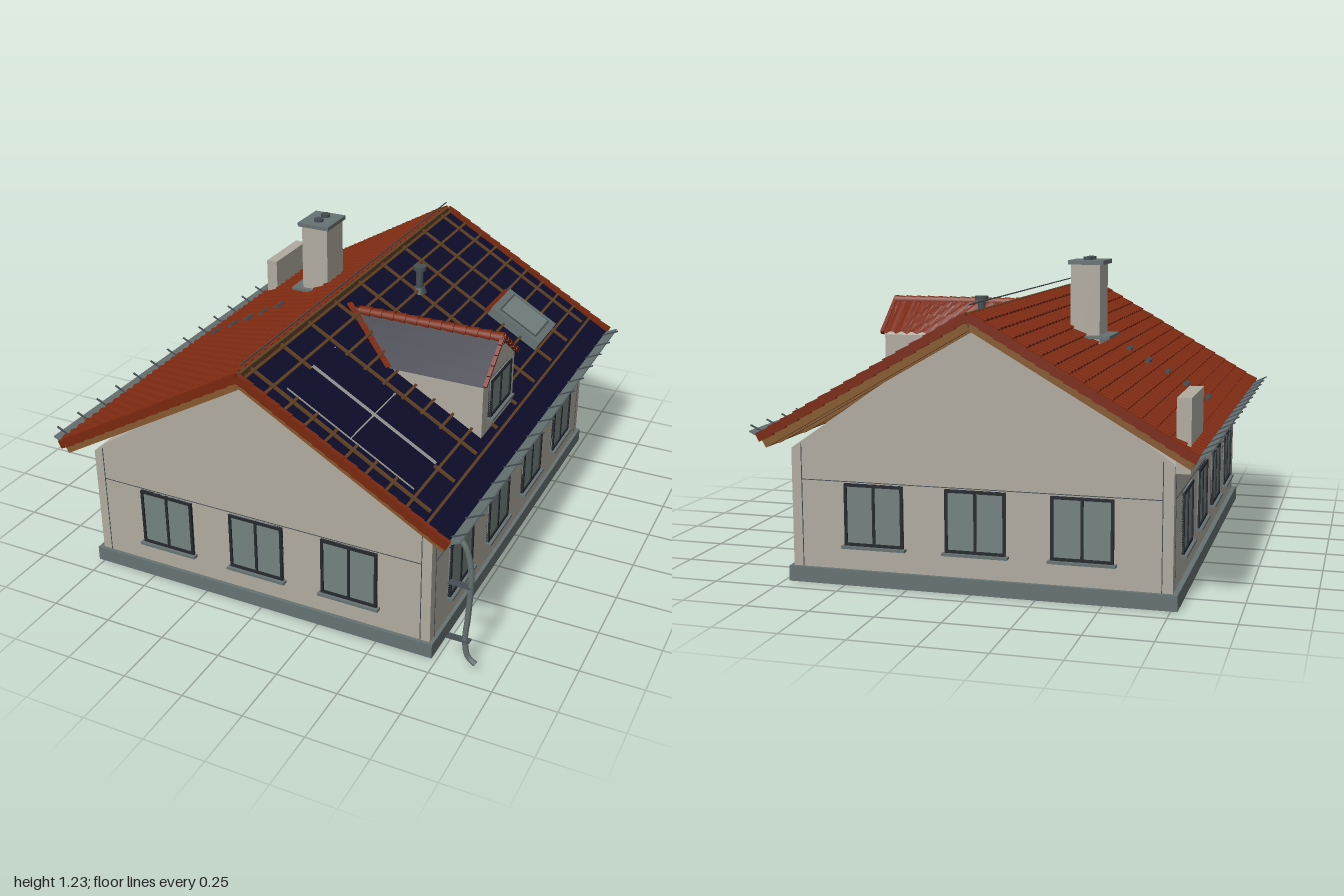
import * as THREE from 'three';

const mat = (name, color, extra = {}) => new THREE.MeshStandardMaterial({ name, color, ...extra });
const M = {
  wall: mat('plaster', 0xb0aba0),
  plinth: mat('plinth grey', 0x667272),
  tile: mat('clay tile', 0x7a280f, { side: THREE.DoubleSide }),
  membrane: mat('navy membrane', 0x0e0d2a, { side: THREE.DoubleSide }),
  batten: mat('batten brown', 0x5f4023),
  timber: mat('rafter timber', 0x85592f),
  frame: mat('window frame', 0x24282e),
  glass: mat('glass', 0x74827f),
  metal: mat('dark metal', 0x464f54),
  rail: mat('light rail', 0x9a9a98),
};
const CX = -0.02, PITCH = Math.PI / 6, LEN = 0.95, RIDGE = 1.04;

function add(parent, name, geo, material, x = 0, y = 0, z = 0) {
  const m = new THREE.Mesh(geo, material);
  m.name = name;
  m.position.set(x, y, z);
  parent.add(m);
  return m;
}
// box given by its minimum and maximum corners
function box(parent, name, material, x0, x1, y0, y1, z0, z1) {
  return add(parent, name, new THREE.BoxGeometry(x1 - x0, y1 - y0, z1 - z0), material,
    (x0 + x1) / 2, (y0 + y1) / 2, (z0 + z1) / 2);
}
function group(parent, name) {
  const g = new THREE.Group();
  g.name = name;
  parent.add(g);
  return g;
}
function polygon(points) {
  return new THREE.Shape(points.map(p => new THREE.Vector2(...p)));
}
// flat grid with its vertices moved by rule(s, t) -> [x, y, z]
function sheet(nx, nz, rule) {
  const g = new THREE.PlaneGeometry(1, 1, nx, nz), p = g.attributes.position;
  for (let i = 0; i < p.count; i++) p.setXYZ(i, ...rule(p.getX(i) + 0.5, 0.5 - p.getY(i)));
  const flat = g.toNonIndexed();
  flat.computeVertexNormals();
  return flat;
}

// two-sash window facing +z, origin at its centre on the wall
function makeWindow(parent, x, y, z, turn, w, h) {
  const g = group(parent, 'window');
  g.position.set(x, y, z);
  g.rotation.y = turn;
  const a = w / 2, b = h / 2, t = 0.011;
  box(g, 'glass', M.glass, -a, a, -b, b, 0, 0.006);
  for (const s of [-1, 1]) {
    add(g, 'frameSide', new THREE.BoxGeometry(t, h, 0.024), M.frame, s * (a - t / 2), 0, 0);
    add(g, 'frameRail', new THREE.BoxGeometry(w, t, 0.024), M.frame, 0, s * (b - t / 2), 0);
  }
  add(g, 'mullion', new THREE.BoxGeometry(t, h, 0.02), M.frame, 0, 0, 0);
  box(g, 'sill', M.plinth, -a - 0.01, a + 0.01, -b - 0.01, -b, 0, 0.025);
}

function buildBody(root) {
  const g = group(root, 'body');
  box(g, 'plinth', M.plinth, -0.775, 0.73, 0, 0.06, -0.92, 0.92);
  box(g, 'walls', M.wall, -0.755, 0.715, 0.06, 0.52, -0.905, 0.905);
  const gable = new THREE.ExtrudeGeometry(
    polygon([[-0.755, 0.52], [0.715, 0.52], [CX, 1.03]]), { depth: 0.04, bevelEnabled: false });
  add(g, 'frontGable', gable, M.wall, 0, 0, 0.865);
  add(g, 'backGable', gable, M.wall, 0, 0, -0.905);
  for (const s of [-1, 1]) {
    // thin joint lines on the gable walls and the long walls
    const z = s * 0.905, x = CX + s * 0.735, t = 0.0015;
    box(g, 'jointLine', M.metal, -0.715, 0.675, 0.399, 0.402, z - t, z + t);
    box(g, 'jointLine', M.metal, x - t, x + t, 0.399, 0.402, -0.865, 0.865);
    for (const e of [-1, 1]) {
      const ex = CX + e * 0.695, ez = e * 0.865;
      box(g, 'cornerLine', M.metal, ex - t, ex + t, 0.06, 0.54, z - t, z + t);
      box(g, 'cornerLine', M.metal, x - t, x + t, 0.06, 0.52, ez - t, ez + t);
    }
    for (const wx of [-0.423, -0.018, 0.382])
      makeWindow(g, wx, 0.275, z, s > 0 ? 0 : Math.PI, 0.235, 0.24);
    for (const wz of [0.62, 0.21, -0.205, -0.612])
      makeWindow(g, x, 0.275, wz, s * Math.PI / 2, 0.235, 0.235);
  }
}

// roof half: local x runs down the slope, local y is the roof normal
function buildSlope(root, side) {
  const half = group(root, side > 0 ? 'leftRoof' : 'rightRoof');
  half.position.set(CX, RIDGE, 0);
  half.rotation.y = side > 0 ? 0 : Math.PI;
  const g = group(half, 'slope');
  g.rotation.z = -PITCH;
  box(g, 'membrane', M.membrane, 0, LEN, -0.004, 0.003, -0.98, 0.98);
  for (let i = 0; i < 9; i++) {
    const z = -0.9 + i * 0.225;
    box(g, 'rafter', M.timber, 0.02, 0.93, -0.045, -0.004, z - 0.016, z + 0.016);
    if (side > 0) box(g, 'counterBatten', M.batten, 0, 0.83, 0.003, 0.012, z - 0.006, z + 0.006);
  }
  for (const z of [-0.965, 0.965])
    box(g, 'vergeRafter', M.timber, 0.02, 0.94, -0.04, -0.004, z - 0.015, z + 0.015);
  box(g, 'fascia', M.timber, 0.93, LEN, -0.04, 0, -0.98, 0.98);
  // overlapping verge tiles
  for (const z of [-0.99, 0.99]) for (let i = 0; i < 16; i++) {
    const v = add(g, 'vergeTile', new THREE.BoxGeometry(0.064, 0.034, 0.02), M.tile,
      (i + 0.5) * LEN / 16, 0.006, z);
    v.rotation.z = 0.08;
  }
  // flat eaves gutter with brackets
  const tray = add(half, 'gutter', new THREE.BoxGeometry(0.055, 0.006, 1.96), M.plinth, 0.845, -0.462, 0);
  tray.rotation.z = 0.45;
  for (let i = 0; i < 15; i++) {
    const b = add(half, 'gutterBracket', new THREE.BoxGeometry(0.085, 0.005, 0.007), M.metal, 0.85, -0.454, -0.93 + i * 0.133);
    b.rotation.z = 0.45;
  }
  if (side > 0) {
    for (let i = 0; i < 10; i++) {
      const u = 0.012 + i * 0.092;
      box(g, 'batten', M.batten, u, u + 0.011, 0.01, 0.018, -0.97, 0.97);
    }
    buildSolar(g);
    buildSkylight(g);
  } else {
    // stepped courses of corrugated tiles
    const courses = 16, waves = 40, bump = [0, 0.007, 0.01, 0.007];
    add(g, 'tiles', sheet(courses * 2 - 1, waves * 4, (s, t) => {
      const row = Math.round(s * (courses * 2 - 1)), col = Math.round(t * waves * 4);
      const u = Math.ceil(row / 2) * LEN / courses;
      return [u, (row % 2 ? 0.022 : 0.012) + bump[col % 4], (t - 0.5) * 1.96];
    }), M.tile);
    // step hooks below the chimney
    for (const x of [0.39, 0.47, 0.55, 0.63, 0.72]) {
      const u = x / Math.cos(PITCH);
      box(g, 'stepHook', M.metal, u - 0.006, u + 0.012, 0.02, 0.036, 0.02, 0.085);
    }
  }
}

function buildSolar(slope) {
  const g = group(slope, 'solarPanels');
  for (const u of [0.155, 0.45]) for (const z of [0.495, 0.69])
    box(g, 'panel', M.membrane, u, u + 0.285, 0.012, 0.025, z, z + 0.18);
  for (const z of [0.672, 0.684]) box(g, 'rail', M.rail, 0.15, 0.735, 0.02, 0.026, z, z + 0.005);
  box(g, 'rail', M.rail, 0.442, 0.447, 0.02, 0.026, 0.49, 0.875);
  for (const z of [0.49, 0.872]) box(g, 'edgeRail', M.rail, 0.15, 0.735, 0.016, 0.021, z, z + 0.003);
}

function buildSkylight(slope) {
  const g = group(slope, 'skylight');
  box(g, 'flashing', M.tile, 0.465, 0.5, 0.01, 0.024, -0.68, -0.44);
  box(g, 'skylightFrame', M.plinth, 0.485, 0.745, 0.003, 0.045, -0.67, -0.44);
  box(g, 'skylightRim', M.metal, 0.515, 0.715, 0.04, 0.047, -0.645, -0.465);
  box(g, 'skylightGlass', M.glass, 0.523, 0.707, 0.042, 0.05, -0.637, -0.473);
}

function buildDormer(root) {
  const g = group(root, 'dormer'), zc = 0.17, top = 1.008, eave = 0.865, half = 0.185;
  const shape = polygon([[-0.175, 0.64], [0.175, 0.64], [0.175, 0.862], [0, 0.998], [-0.175, 0.862]]);
  const walls = add(g, 'dormerWalls',
    new THREE.ExtrudeGeometry(shape, { depth: 0.38, bevelEnabled: false }), M.wall, 0.3, 0, zc);
  walls.rotation.y = Math.PI / 2;
  makeWindow(g, 0.682, 0.785, zc, Math.PI / 2, 0.225, 0.16);
  // roof sheets cut diagonally along the valleys
  const roof = (dir, amp) => sheet(56, 4, (s, t) => {
    const x0 = 0.03 + 0.26 * t, x = x0 + (0.7 - x0) * s;
    const wave = amp * Math.abs(Math.sin(x * Math.PI / 0.048));
    return [x, top + (eave - top) * t + wave, zc + dir * half * t];
  });
  add(g, 'dormerTiles', roof(-1, 0.012), M.tile);
  add(g, 'dormerMembrane', roof(1, 0), M.membrane);
  for (let i = 0; i < 12; i++) {
    const cap = add(g, 'ridgeTile', new THREE.CylinderGeometry(0.025, 0.02, 0.054, 10), M.tile,
      0.1 + i * 0.0515, 0.998, zc);
    cap.rotation.z = -Math.PI / 2;
  }
  const angle = Math.atan2(top - eave, half);
  for (const s of [-1, 1]) for (let i = 0; i < 5; i++) {
    const t = (i + 0.5) / 5;
    const v = add(g, 'dormerVerge', new THREE.BoxGeometry(0.015, 0.016, 0.042), M.tile,
      0.69, top + (eave - top) * t + 0.002, zc + s * half * t);
    v.rotation.x = s * angle;
  }
  // valley tiles on the membrane side
  for (let i = 0; i < 7; i++) {
    const t = (i + 0.5) / 7;
    const v = add(g, 'valleyTile', new THREE.BoxGeometry(0.05, 0.014, 0.025), M.tile,
      0.025 + 0.26 * t, 1.02 + (eave - 1.02) * t, zc + half * t);
    v.rotation.set(0, -0.62, -0.45);
  }
}

function buildChimney(root) {
  const g = group(root, 'chimney');
  box(g, 'shaft', M.wall, -0.345, -0.225, 0.8, 1.195, -0.275, -0.125);
  box(g, 'baseFlashing', M.plinth, -0.39, -0.24, 0.9, 0.912, -0.3, -0.105);
  box(g, 'cap', M.plinth, -0.36, -0.215, 1.195, 1.212, -0.285, -0.115);
  for (const z of [-0.235, -0.17])
    add(g, 'flue', new THREE.CylinderGeometry(0.02, 0.02, 0.02, 16), M.metal, -0.287, 1.215, z);
  const v = group(root, 'ventPipe');
  v.position.set(0.16, 0, -0.24);
  add(v, 'pipe', new THREE.CylinderGeometry(0.016, 0.016, 0.12, 16), M.metal, 0, 0.985, 0);
  add(v, 'collar', new THREE.CylinderGeometry(0.022, 0.032, 0.025, 16), M.metal, 0, 0.95, 0);
  add(v, 'hood', new THREE.CylinderGeometry(0.028, 0.028, 0.018, 16), M.metal, 0, 1.05, 0);
}

function buildDownpipe(root) {
  const g = group(root, 'downpipe');
  const pts = [[0.825, 0.565], [0.85, 0.53], [0.872, 0.44], [0.868, 0.245], [0.86, 0.13], [0.873, 0.06], [0.903, 0.035]];
  const path = new THREE.CatmullRomCurve3(pts.map(([x, y]) => new THREE.Vector3(x, y, 0.92)));
  add(g, 'pipe', new THREE.TubeGeometry(path, 40, 0.011, 10), M.plinth);
  for (const y of [0.37, 0.13]) box(g, 'clip', M.metal, 0.79, 0.88, y - 0.002, y + 0.002, 0.905, 0.935);
}

export function createModel() {
  const root = new THREE.Group();
  root.name = 'house';
  buildBody(root);
  for (const side of [1, -1]) buildSlope(root, side);
  box(root, 'ridgeBatten', M.batten, CX - 0.008, CX + 0.008, 1.035, 1.058, -0.98, 0.98);
  box(root, 'ridgeWire', M.metal, CX - 0.002, CX + 0.002, 1.083, 1.087, -0.97, 0.97);
  buildDormer(root);
  buildChimney(root);
  buildDownpipe(root);
  box(root, 'wallBox', M.wall, -0.815, -0.762, 0.505, 0.775, -0.93, -0.63);
  return root;
}
